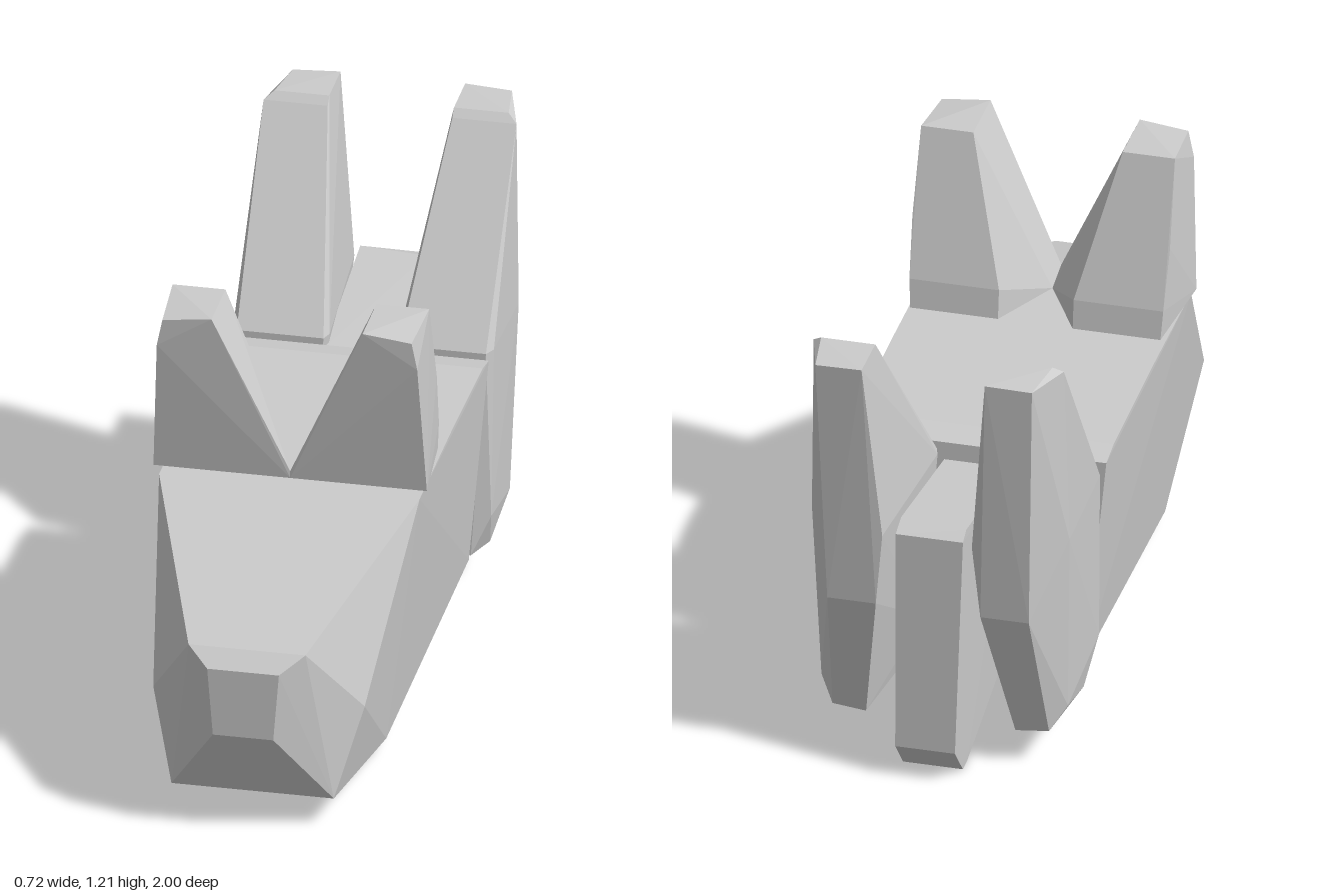
import * as THREE from 'three';
import { ConvexGeometry } from 'three/addons/geometries/ConvexGeometry.js';

const material = new THREE.MeshStandardMaterial({ color: 0xcccccc, flatShading: true });

// Faceted solid around a few corners
function solid(name, corners) {
  const mesh = new THREE.Mesh(new ConvexGeometry(corners.map(c => new THREE.Vector3(...c))), material);
  mesh.name = name;
  return mesh;
}

const flip = corners => corners.map(([x, y, z]) => [-x, y, z]);

export function createModel() {
  const group = new THREE.Group();
  group.name = 'blockyAnimal';

  // Body with tapering snout, left half mirrored
  const bodyHalf = [
    [0.095, 0.48, 1.0], [0.08, 0.29, 1.0], [0.155, 0.52, 0.95],
    [0.28, 0.31, 0.8], [0.215, 0.075, 0.88], [0.265, 0.045, 0.46],
    [0.345, 0.73, 0.42], [0.345, 0.728, 0.0], [0.345, 0.715, -0.37],
    [0.345, 0.7, -0.445], [0.29, 0.11, -0.455],
  ];
  group.add(solid('body', [...bodyHalf, ...flip(bodyHalf)]));

  // Ears meeting in a V at the centre
  const ear = [
    [0, 0.75, 0.41], [0, 0.77, 0.41], [0, 0.75, 0.32], [0.1, 0.74, 0.145], [0.1, 0.82, 0.155],
    [0.335, 0.74, 0.145], [0.34, 0.82, 0.155], [0.362, 0.75, 0.41],
    [0.16, 0.98, 0.205], [0.345, 0.98, 0.205],
    [0.2, 1.21, 0.275], [0.34, 1.21, 0.275],
    [0.2, 1.21, 0.45], [0.33, 1.195, 0.45], [0.345, 1.12, 0.45],
  ];

  // Tall rear haunches
  const haunch = [
    [0.165, 1.21, -0.86], [0.31, 1.21, -0.86], [0.165, 1.19, -0.84], [0.335, 1.19, -0.84],
    [0.165, 1.21, -1.0], [0.29, 1.205, -0.995],
    [0.09, 0.7, -0.51], [0.345, 0.7, -0.51], [0.1, 0.7, -0.48], [0.33, 0.7, -0.48],
    [0.12, 0.7, -0.96], [0.345, 0.68, -0.82],
    [0.14, 0.49, -0.95], [0.27, 0.49, -0.95],
    [0.13, 0.2, -0.49], [0.34, 0.22, -0.5], [0.33, 0.16, -0.78],
    [0.15, 0.11, -0.48], [0.29, 0.11, -0.48],
    [0.2, 0.1, -0.58], [0.32, 0.105, -0.58], [0.2, 0.09, -0.82], [0.29, 0.1, -0.82],
  ];

  for (const [part, corners] of [['Ear', ear], ['Haunch', haunch]]) {
    group.add(solid('left' + part, corners), solid('right' + part, flip(corners)));
  }

  // Tail slab between the haunches
  const tail = [];
  for (const x of [-0.1, 0.08]) {
    const low = x < 0 ? -0.08 : 0.08;
    tail.push([x, 0.67, -0.48], [x, 0.74, x < 0 ? -0.94 : -0.92], [x, 0.72, -0.975],
      [low, 0.1, -0.48], [low, 0, -0.86], [low, 0, -0.9], [low, 0.09, -0.98]);
  }
  group.add(solid('tail', tail));

  return group;
}
